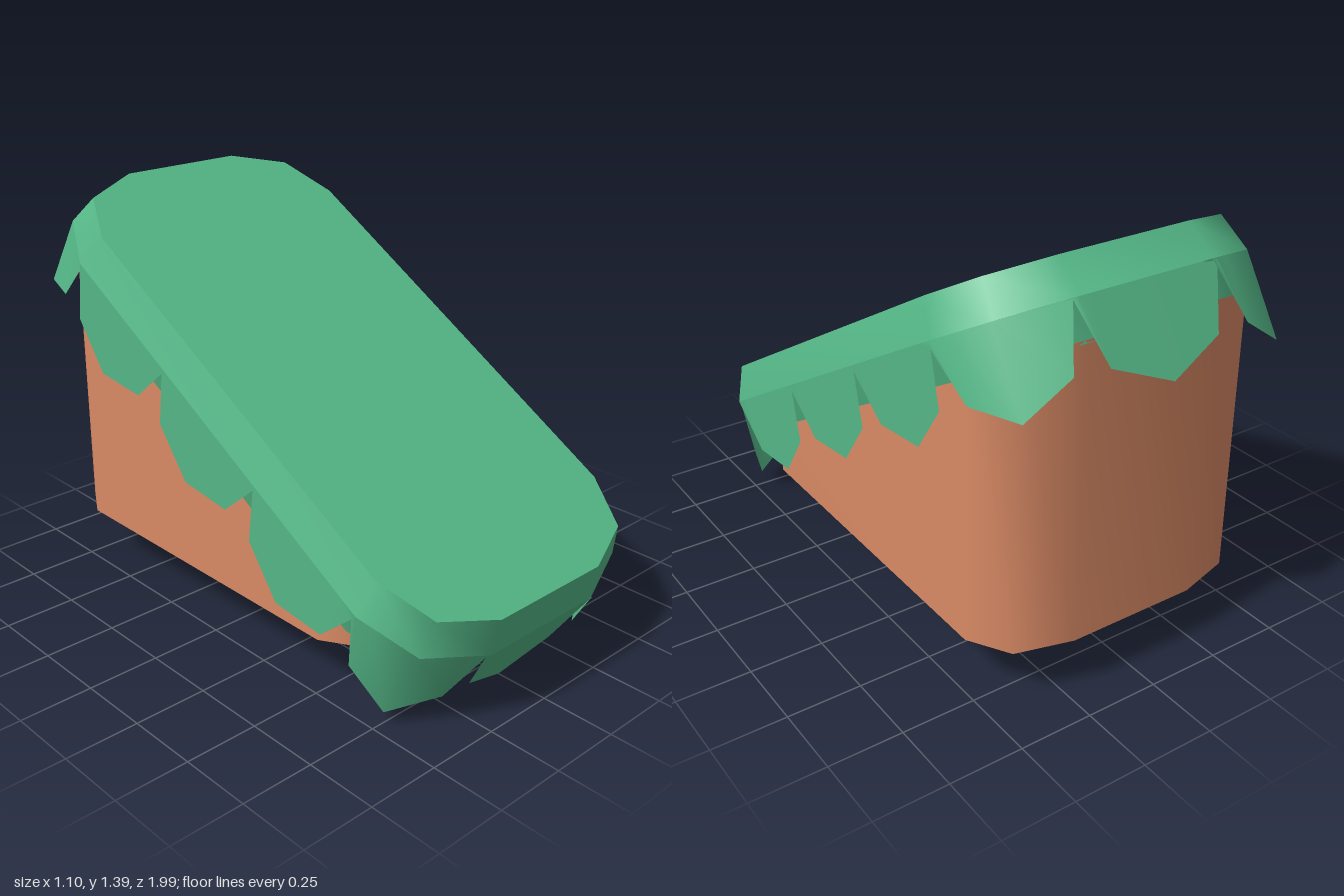
import * as THREE from 'three';

// Mirror a front-left quarter of [x, y, z] points into a full loop, counterclockwise from above.
function fullRing(quarter) {
  const flip = (pts, sx, sz) => pts.map(([x, y, z]) => [x * sx, y, z * sz]).reverse();
  const half = [...quarter, ...flip(quarter, 1, -1)];
  return [...half, ...flip(half, -1, 1)];
}

// Smooth wall through rings listed from top to bottom.
function loft(rings) {
  const n = rings[0].length;
  const index = [];
  for (let r = 0; r < rings.length - 1; r++) {
    for (let i = 0; i < n; i++) {
      const j = (i + 1) % n;
      const a = r * n, b = a + n;
      index.push(a + i, b + i, b + j, a + i, b + j, a + j);
    }
  }
  return build(rings.flat(), index);
}

// Flat lid over one convex ring, facing up or down.
function cap(ring, up) {
  const index = [];
  for (let i = 1; i < ring.length - 1; i++) {
    index.push(0, ...(up ? [i, i + 1] : [i + 1, i]));
  }
  return build(ring, index);
}

function build(points, index) {
  const g = new THREE.BufferGeometry();
  g.setAttribute('position', new THREE.Float32BufferAttribute(points.flat(), 3));
  g.setIndex(index);
  g.computeVertexNormals();
  return g;
}

export function createModel() {
  const grass = new THREE.MeshStandardMaterial({ color: 0x55b888, side: THREE.DoubleSide });
  grass.name = 'grass green';
  const earth = new THREE.MeshStandardMaterial({ color: 0xd98a65 });
  earth.name = 'earth brown';

  const model = new THREE.Group();
  model.name = 'grassRamp';
  const add = (parent, name, geometry, material) => {
    const mesh = new THREE.Mesh(geometry, material);
    mesh.name = name;
    parent.add(mesh);
  };

  // Turf slab, tilted along the slope; local y = 0 is the walking surface
  const turf = new THREE.Group();
  turf.name = 'turf';
  turf.position.set(0, 0.8825, 0.12);
  turf.rotation.x = Math.PI / 6;
  model.add(turf);

  const corner = [[0.23, 1.016], [0.43, 0.932], [0.51, 0.745]];
  const bulge = [[0.24, 1.058], [0.46, 0.965], [0.55, 0.768]];
  const level = (pts, y) => fullRing(pts.map(([x, z]) => [x, y, z]));
  const topRing = level(corner, 0);
  const midRing = level(bulge, -0.123);
  const lowRing = level(corner, -0.25);
  add(turf, 'turfTop', cap(topRing, true), grass);
  add(turf, 'turfRim', loft([topRing, midRing]), grass);
  add(turf, 'turfUndercut', loft([midRing, lowRing]), grass);
  add(turf, 'turfUnderside', cap(lowRing, false), grass);

  // Hanging grass fringe: upper x, z on the rim, then lower x, z and drop
  const fringe = [
    [0, 1.058, 0, 1.045, 0.418],
    [0.195, 1.058, 0.195, 1.045, 0.332],
    [0.24, 1.058, 0.258, 1.055, 0.128],
    [0.315, 1.026, 0.315, 1.04, 0.325],
    [0.46, 0.965, 0.465, 0.973, 0.405],
    [0.525, 0.823, 0.525, 0.822, 0.322],
    [0.55, 0.768, 0.548, 0.76, 0.147],
    [0.55, 0.698, 0.543, 0.698, 0.318],
    [0.55, 0.511, 0.54, 0.511, 0.405],
    [0.55, 0.323, 0.543, 0.323, 0.318],
    [0.55, 0.256, 0.549, 0.256, 0.142],
    [0.55, 0.19, 0.543, 0.19, 0.318],
    [0.55, 0, 0.54, 0, 0.402],
  ];
  const fringeTop = fullRing(fringe.map(([x, z]) => [x, -0.123, z]));
  const fringeTips = fullRing(fringe.map(([, , x, z, drop]) => [x, -drop, z]));
  add(turf, 'grassFringe', loft([fringeTop, fringeTips]), grass);

  // Earth block: upright walls, cut off along the slope under the turf
  const base = fullRing([[0.225, 0.19, 0.787], [0.415, 0.19, 0.735], [0.495, 0.19, 0.6]])
    .map(([x, y, z]) => [x, y, z - 0.0975]);
  const slopeY = (z) => 0.8825 - (z - 0.12) * Math.tan(Math.PI / 6) - 0.24 / Math.cos(Math.PI / 6);
  const cut = base.map(([x, , z]) => [x, slopeY(z), z]);
  add(model, 'earthWalls', loft([cut, base]), earth);
  add(model, 'earthBottom', cap(base, false), earth);

  return model;
}
